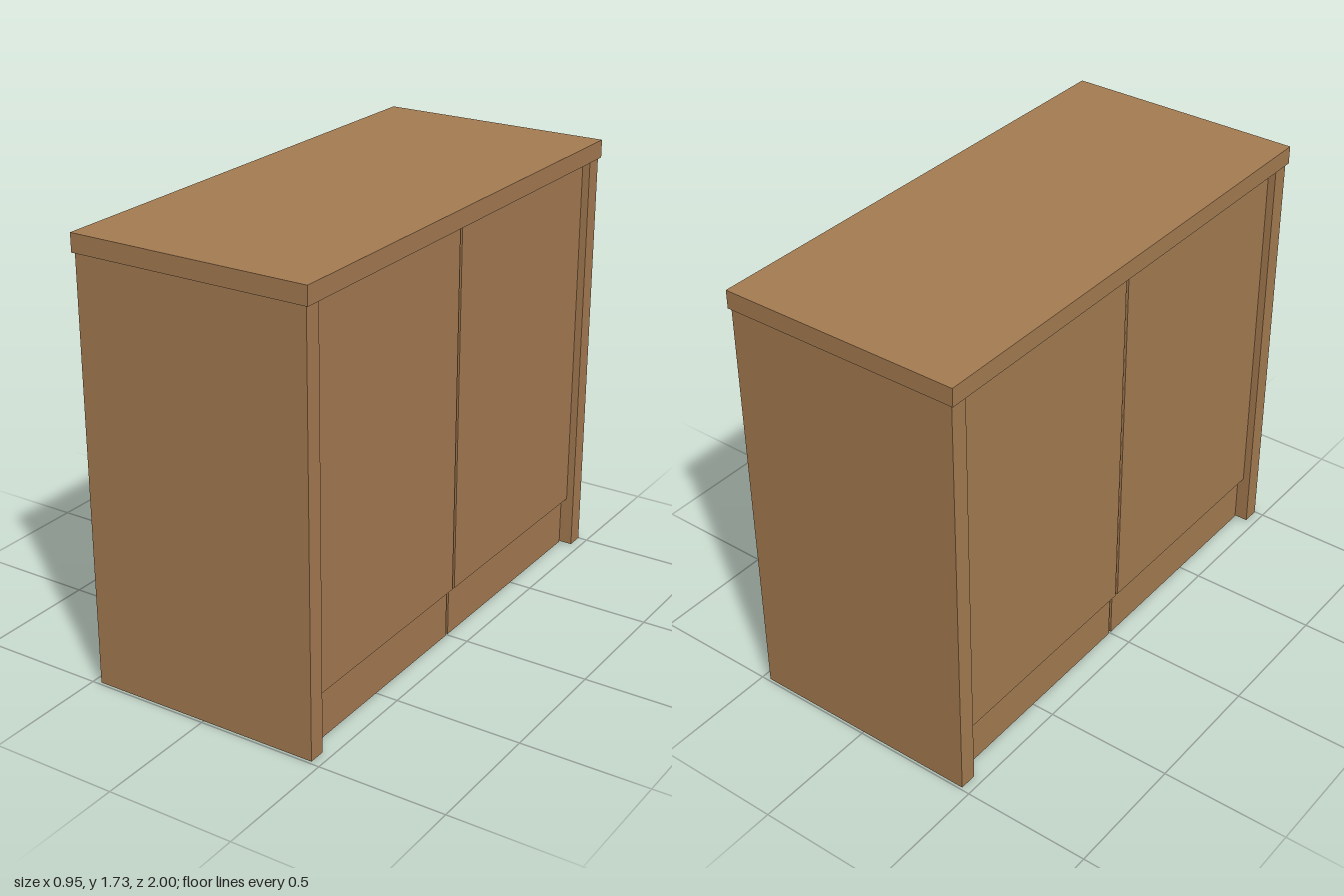
import * as THREE from 'three';

export function createModel() {
  const cabinet = new THREE.Group();
  cabinet.name = 'cabinet';
  const wood = new THREE.MeshStandardMaterial({ color: 0xa67c52 });
  wood.name = 'brown wood';

  const add = (name, geometry, x, y, z) => {
    const mesh = new THREE.Mesh(geometry, wood);
    mesh.name = name;
    mesh.position.set(x, y, z);
    cabinet.add(mesh);
  };
  const box = (name, w, y0, y1, z0, z1) =>
    add(name, new THREE.BoxGeometry(w, y1 - y0, z1 - z0), 0, (y0 + y1) / 2, (z0 + z1) / 2);

  // Overhanging worktop
  box('worktop', 0.95, 1.655, 1.725, -1, 1);

  // Cross-section of one half: doors on both faces, sloping in to a recessed plinth
  const door = 0.435, plinth = 0.41, top = 1.65;
  const profile = new THREE.Shape([
    [-plinth, 0], [plinth, 0], [plinth, 0.19], [door, 0.207], [door, top],
    [-door, top], [-door, 0.207], [-plinth, 0.19],
  ].map(([x, y]) => new THREE.Vector2(x, y)));
  const gap = 0.007, inner = 0.925;

  for (const s of [1, -1]) {
    const side = s > 0 ? 'front' : 'back';
    // End panel
    const z = [s * inner, s * 0.993].sort((a, b) => a - b);
    box(side + 'EndPanel', 0.93, 0.004, 1.655, z[0], z[1]);
    // Door and plinth block
    const half = new THREE.ExtrudeGeometry(profile, { depth: inner - gap, bevelEnabled: false });
    add(side + 'DoorsAndPlinth', half, 0, 0, s > 0 ? gap : -inner);
  }

  // Recessed divider behind the gap between the doors
  box('centreDivider', 0.79, 0.006, 1.645, -gap, gap);

  return cabinet;
}
